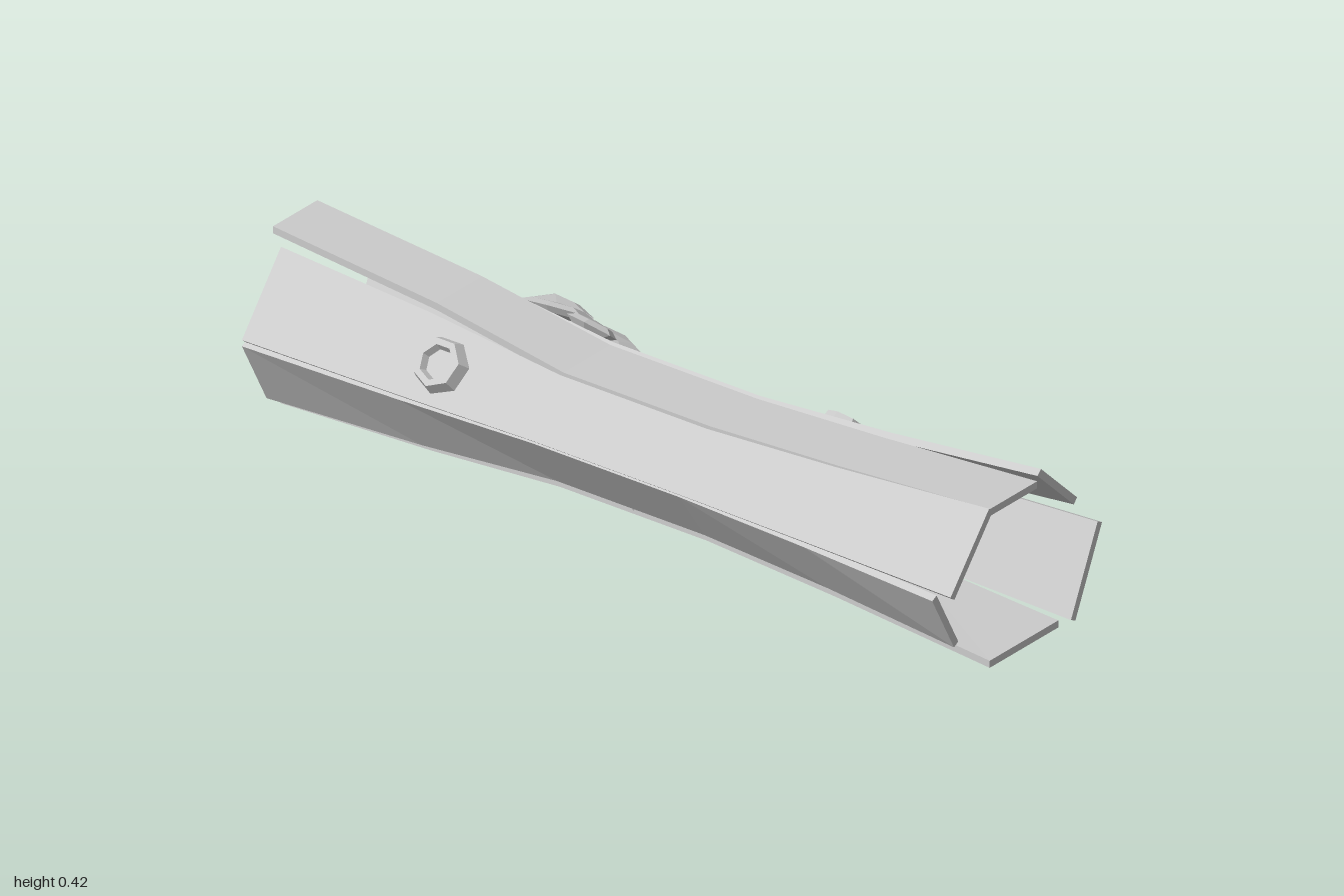
import * as THREE from 'three';

const material = new THREE.MeshStandardMaterial({ color: 0xcccccc, flatShading: true, side: THREE.DoubleSide });
const THICKNESS = 0.017;

// Outer edges [az, ay, bz, by] at the -x end, the waist and the +x end, clockwise seen from +x
const PLANKS = [
  { name: 'topPlank', x: [-1, 0.97], ends: [[0.117, 0.417, -0.036, 0.417], [0.128, 0.328, -0.034, 0.328], [0.14, 0.383, -0.024, 0.383]] },
  { name: 'backUpperPlank', x: [-0.925, 0.94], ends: [[-0.07, 0.375, -0.23, 0.245], [-0.042, 0.332, -0.157, 0.22], [-0.075, 0.382, -0.2, 0.262]] },
  { name: 'backLowerPlank', x: [-0.96, 1], ends: [[-0.185, 0.205, -0.1, 0.025], [-0.155, 0.21, -0.085, 0.055], [-0.21, 0.218, -0.118, 0.018]] },
  { name: 'bottomPlank', x: [-0.96, 0.97], ends: [[-0.097, 0.005, 0.14, 0.012], [-0.078, 0.052, 0.14, 0.057], [-0.097, 0, 0.14, 0]] },
  { name: 'frontLowerPlank', x: [-0.96, 0.92], ends: [[0.19, 0.045, 0.275, 0.205], [0.15, 0.075, 0.238, 0.203], [0.2, 0.058, 0.275, 0.2]] },
  { name: 'frontUpperPlank', x: [-0.96, 0.97], ends: [[0.275, 0.22, 0.14, 0.39], [0.238, 0.209, 0.14, 0.327], [0.275, 0.225, 0.142, 0.385]] },
];

// A flared board: rectangular cross-sections lofted along x
function plankGeometry({ x: [x0, x1], ends: [left, waist, right] }) {
  const stations = [[x0, left, 1], [-0.55, left, 0.58], [-0.2, waist, 0], [0.2, waist, 0], [0.55, right, 0.38], [x1, right, 1]];
  const positions = [];
  const index = [];
  for (const [x, end, t] of stations) {
    const [az, ay, bz, by] = waist.map((w, i) => THREE.MathUtils.lerp(w, end[i], t));
    const length = Math.hypot(bz - az, by - ay);
    const iz = -(by - ay) / length * THICKNESS; // inward offset
    const iy = (bz - az) / length * THICKNESS;
    positions.push(x, ay, az, x, by, bz, x, by + iy, bz + iz, x, ay + iy, az + iz);
  }
  const last = (stations.length - 1) * 4;
  for (let s = 0; s < last; s += 4) {
    for (let k = 0; k < 4; k++) {
      const n = (k + 1) % 4;
      index.push(s + k, s + 4 + k, s + n, s + 4 + k, s + 4 + n, s + n);
    }
  }
  index.push(0, 1, 2, 0, 2, 3, last, last + 3, last + 2, last, last + 2, last + 1);
  const geometry = new THREE.BufferGeometry();
  geometry.setAttribute('position', new THREE.Float32BufferAttribute(positions, 3));
  geometry.setIndex(index);
  const flat = geometry.toNonIndexed();
  flat.computeVertexNormals();
  return flat;
}

// Raised ring with a sunken centre
function knotGeometry(radius) {
  const profile = [[1, -0.15], [0.85, 0.32], [0.62, 0.32], [0.52, 0.05], [0, 0.05]];
  return new THREE.LatheGeometry(profile.map(([r, y]) => new THREE.Vector2(r * radius, y * radius)), 7);
}

// Faceted bracket: a thin, slightly domed irregular disc
function bracketGeometry(seed) {
  const geometry = new THREE.SphereGeometry(1, 7, 4);
  const p = geometry.attributes.position;
  for (let i = 0; i < p.count; i++) {
    const angle = Math.atan2(p.getZ(i), p.getX(i));
    const wobble = 1 + 0.1 * Math.sin(angle * 2 + seed) + 0.07 * Math.cos(angle * 3 + seed * 2);
    p.setX(i, p.getX(i) * wobble);
    p.setZ(i, p.getZ(i) * wobble);
  }
  geometry.computeVertexNormals();
  return geometry;
}

export function createModel() {
  const group = new THREE.Group();
  const up = new THREE.Vector3(0, 1, 0);
  const add = (name, geometry, position = [0, 0, 0], normal = [0, 1, 0]) => {
    const mesh = new THREE.Mesh(geometry, material);
    mesh.name = name;
    mesh.position.set(...position);
    mesh.quaternion.setFromUnitVectors(up, new THREE.Vector3(...normal).normalize());
    group.add(mesh);
    return mesh;
  };

  for (const plank of PLANKS) add(plank.name, plankGeometry(plank));

  // Wall closing the hollow at the waist
  const outline = [[0.14, 0.317], [-0.035, 0.317], [-0.142, 0.215], [-0.075, 0.056], [0.14, 0.064], [0.233, 0.212]];
  const wall = new THREE.ShapeGeometry(new THREE.Shape(outline.map(([z, y]) => new THREE.Vector2(-z, y))));
  wall.rotateY(Math.PI / 2);
  add('innerWall', wall);

  // Knots in the wood
  add('frontKnot', knotGeometry(0.066), [-0.475, 0.288, 0.203], [0, 0.64, 0.77]);
  add('backKnot', knotGeometry(0.05), [0.375, 0.29, -0.108], [0, 0.7, -0.71]);

  // Bracket fungus: position, tilt, half sizes along x and across
  const brackets = [
    [[-0.485, 0.247, -0.207], [0.05, 1, -0.12], 0.082, 0.078],
    [[-0.44, 0.287, -0.15], [-0.1, 0.85, -0.6], 0.088, 0.075],
    [[-0.318, 0.252, -0.168], [0.15, 0.95, -0.4], 0.08, 0.068],
    [[-0.325, 0.289, -0.132], [0.1, 0.8, -0.65], 0.068, 0.068],
  ];
  brackets.forEach(([position, normal, sx, sz], i) => {
    add('bracketFungus' + (i + 1), bracketGeometry(i * 1.7 + 0.6), position, normal).scale.set(sx, 0.016, sz);
  });

  return group;
}
